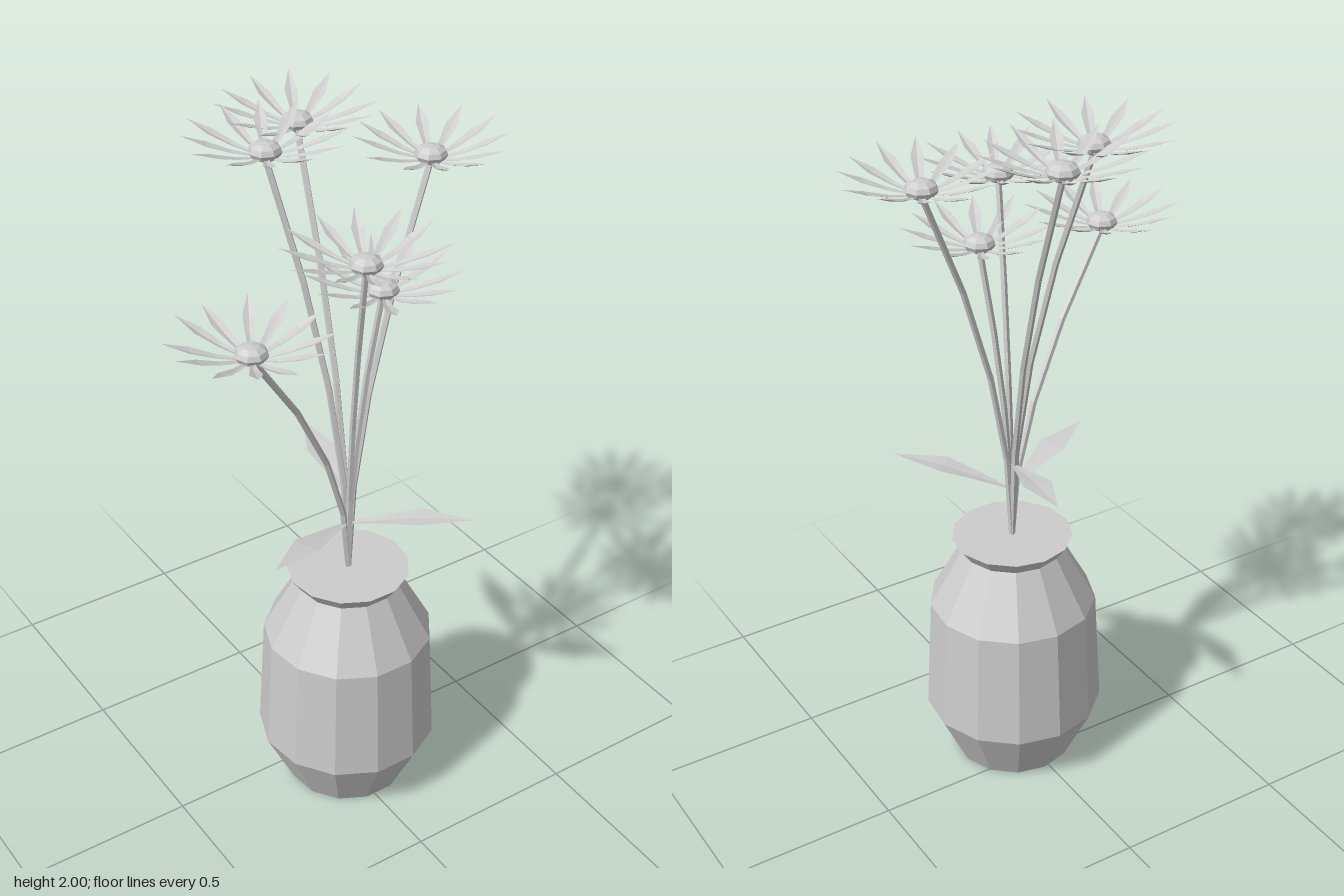
import * as THREE from 'three';
import { mergeGeometries } from 'three/addons/utils/BufferGeometryUtils.js';

const grey = new THREE.MeshStandardMaterial({ color: 0xcccccc, flatShading: true, side: THREE.DoubleSide });
grey.name = 'plain grey';

const BASE = new THREE.Vector3(0.015, 0.735, 0.096); // centre of the vase mouth

function add(parent, name, geometry) {
  const mesh = new THREE.Mesh(geometry, grey);
  mesh.name = name;
  parent.add(mesh);
  return mesh;
}

// Pointed blade along +x from rows of [distance, height, half width, ridge drop]
function blade(rows) {
  const pos = [];
  const row = ([d, h, w, drop]) => [[d, h, -w], [d, h - drop, 0], [d, h, w]];
  for (let i = 0; i < rows.length - 1; i++) {
    const a = row(rows[i]), b = row(rows[i + 1]);
    for (let j = 0; j < 2; j++) {
      pos.push(...a[j], ...a[j + 1], ...b[j], ...a[j + 1], ...b[j + 1], ...b[j]);
    }
  }
  const g = new THREE.BufferGeometry();
  g.setAttribute('position', new THREE.Float32BufferAttribute(pos, 3));
  g.computeVertexNormals();
  return g;
}

let seed = 7;
const jitter = (amount) => {
  seed = (seed * 16807) % 2147483647;
  return (seed / 2147483647 * 2 - 1) * amount;
};

// Flower head: twelve rising petals around a flattened dome
function makeFlower() {
  const flower = new THREE.Group();
  flower.name = 'flower';
  const petals = [];
  for (let i = 0; i < 12; i++) {
    const petal = blade([
      [0.02, 0.004, 0.006, 0.002],
      [0.085, 0.02, 0.011, 0.004],
      [0.145, 0.042, 0.017, 0.005],
      [0.21, 0.067, 0.0005, 0],
    ]);
    petal.scale(1 + jitter(0.035), 1 + jitter(0.08), 1);
    petal.rotateY(i * Math.PI / 6 + 0.04 + jitter(0.04));
    petals.push(petal);
  }
  add(flower, 'petals', mergeGeometries(petals));
  const dome = add(flower, 'flowerCentre', new THREE.SphereGeometry(0.044, 8, 6));
  dome.scale.y = 0.58;
  dome.position.y = 0.017;
  return flower;
}

// Stem in four straight pieces, rising from the mouth and bending outwards
function makeStem(top) {
  const bend = new THREE.Vector3(BASE.x, BASE.y + (top.y - BASE.y) * 0.44, BASE.z);
  const curve = new THREE.QuadraticBezierCurve3(BASE, bend, top);
  curve.getPointAt = curve.getPoint; // joints at even curve steps
  curve.getTangentAt = curve.getTangent;
  return new THREE.TubeGeometry(curve, 4, 0.009, 5);
}

export function createModel() {
  const model = new THREE.Group();
  model.name = 'vaseOfFlowers';

  // Faceted vase, closed at the bottom and at the mouth
  const profile = [[0, 0], [0.175, 0], [0.258, 0.175], [0.24, 0.52], [0.145, 0.695], [0.173, 0.735], [0, 0.735]]
    .map(([r, y]) => new THREE.Vector2(r, y));
  const vase = add(model, 'vase', new THREE.LatheGeometry(profile, 13, Math.PI / 13));
  vase.position.set(BASE.x, 0, BASE.z);

  // Six flowers on stems
  const heads = [
    [0.059, 1.925, -0.217], [-0.105, 1.925, -0.108], [0.316, 1.857, 0.013],
    [-0.333, 1.563, 0.183], [-0.04, 1.747, 0.242], [0.073, 1.605, 0.154],
  ];
  for (const head of heads) {
    const top = new THREE.Vector3(...head);
    add(model, 'stem', makeStem(top));
    const flower = makeFlower();
    flower.position.copy(top);
    model.add(flower);
  }

  // Three leaves: [tip x, tip z, base height, rise]
  const leaves = [[-0.305, 0.23, 0.885, 0.055], [0.25, 0.345, 0.882, 0.065], [0.078, -0.235, 0.965, 0.055]];
  for (const [x, z, y, rise] of leaves) {
    const dx = x - BASE.x, dz = z - BASE.z, len = Math.hypot(dx, dz);
    const leaf = add(model, 'leaf', blade([
      [0, 0, 0.004, 0],
      [len * 0.3, rise * 0.45, 0.022, 0.003],
      [len * 0.58, rise * 0.82, 0.041, 0.004],
      [len, rise, 0.0005, 0],
    ]));
    leaf.position.set(BASE.x, y, BASE.z);
    leaf.rotation.y = Math.atan2(-dz, dx);
  }
  return model;
}
